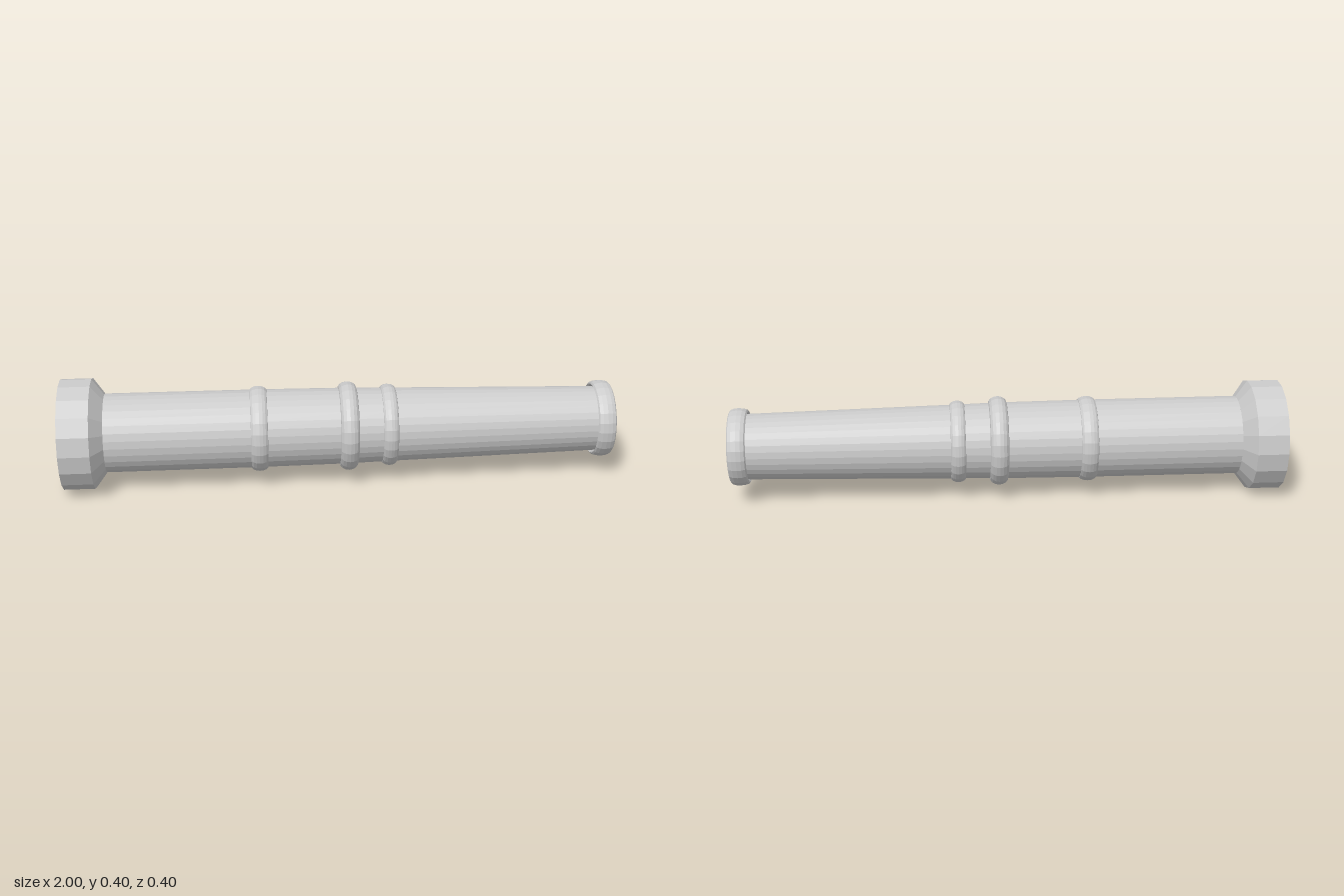
import * as THREE from 'three';

const CENTER_Y = 0.202;

export function createModel() {
  const model = new THREE.Group();
  model.name = 'taperedTube';
  const material = new THREE.MeshStandardMaterial({
    color: 0xcccccc, flatShading: true, side: THREE.DoubleSide,
  });

  // Turns a profile of [x, radius] points around the long x axis
  function turned(name, profile, sides) {
    const points = profile.map(([x, r]) => new THREE.Vector2(r, x));
    const geometry = new THREE.LatheGeometry(points, sides);
    geometry.rotateZ(-Math.PI / 2);
    const mesh = new THREE.Mesh(geometry, material);
    mesh.name = name;
    mesh.position.y = CENTER_Y;
    model.add(mesh);
  }

  // Rounded band standing proud of the barrel
  function band(name, x, halfWidth, inner, outer) {
    const profile = [];
    for (let i = 0; i <= 8; i++) {
      const a = Math.PI * i / 8;
      profile.push([x - halfWidth * Math.cos(a), inner + (outer - inner) * Math.sin(a)]);
    }
    turned(name, profile, 24);
  }

  // Wide end cap with a chamfered shoulder
  turned('endCap', [[-1, 0], [-1, 0.201], [-0.888, 0.201], [-0.845, 0.143]], 18);

  // Hollow barrel, almost straight and then tapering to the mouth
  turned('barrel', [[-0.845, 0.143], [-0.29, 0.142], [0.03, 0.139], [0.18, 0.135], [0.97, 0.118]], 32);

  // Raised bands along the barrel
  band('rearBand', -0.293, 0.032, 0.138, 0.156);
  band('middleBand', 0.032, 0.034, 0.136, 0.163);
  band('frontBand', 0.18, 0.028, 0.132, 0.15);

  // Rolled lip around the open mouth
  const lip = [];
  for (let i = 0; i <= 12; i++) {
    const a = 2 * Math.PI * i / 12;
    lip.push([0.967 - 0.033 * Math.cos(a), 0.129 + 0.012 * Math.sin(a)]);
  }
  turned('mouthLip', lip, 24);

  return model;
}
